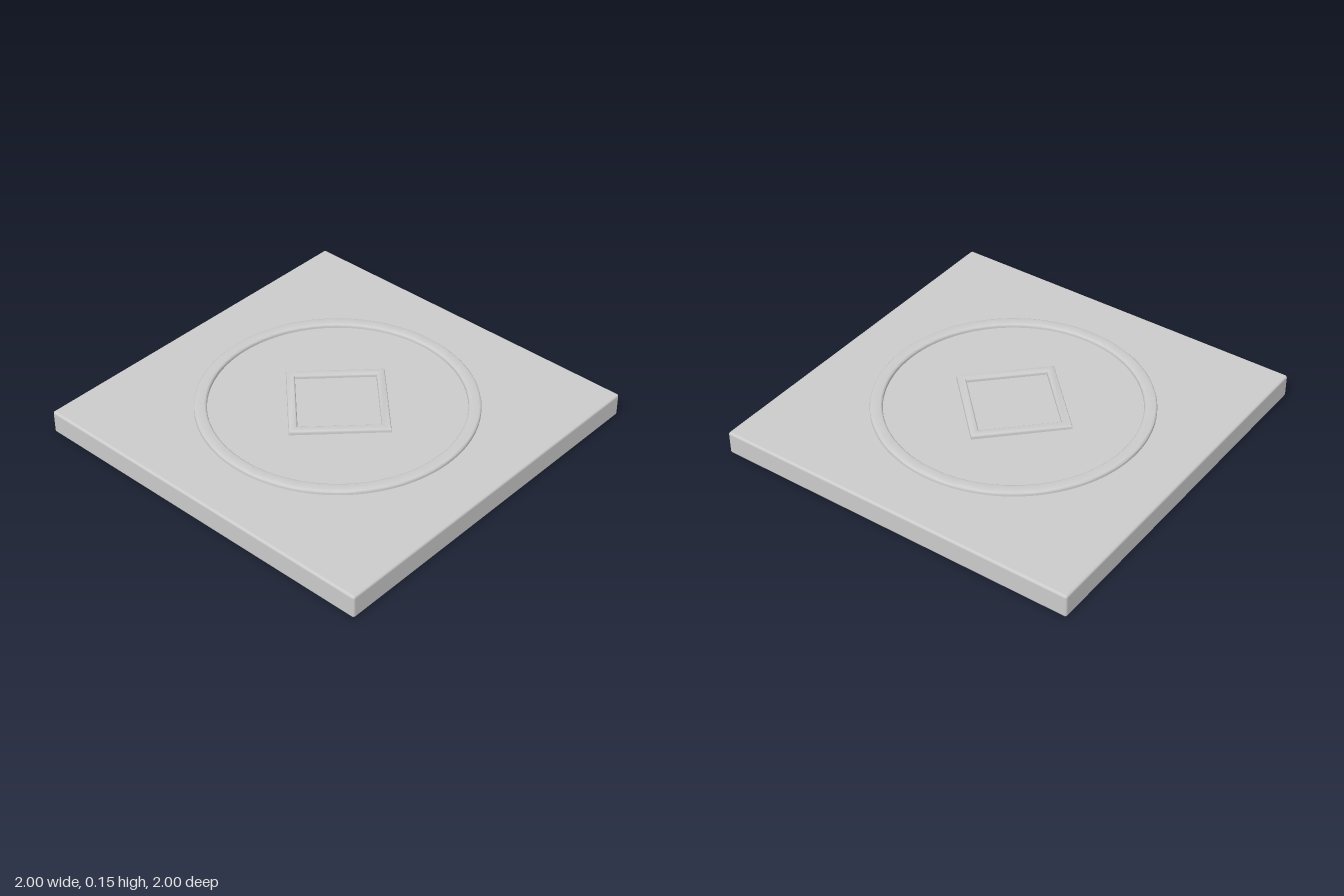
import * as THREE from 'three';
import { RoundedBoxGeometry } from 'three/addons/geometries/RoundedBoxGeometry.js';
import { toCreasedNormals } from 'three/addons/utils/BufferGeometryUtils.js';

const SLAB_TOP = 0.127;

// Raised band with rounded upper edges, swept about the y axis
function raisedBand(inner, outer, top, sides, bevel, crease) {
  const base = SLAB_TOP - 0.01;
  const profile = [[outer, base], [outer, top - bevel]];
  for (const a of [30, 60, 90]) {
    const t = THREE.MathUtils.degToRad(a);
    profile.push([outer - bevel + bevel * Math.cos(t), top - bevel + bevel * Math.sin(t)]);
  }
  for (const a of [90, 60, 30, 0]) {
    const t = THREE.MathUtils.degToRad(a);
    profile.push([inner + bevel - bevel * Math.cos(t), top - bevel + bevel * Math.sin(t)]);
  }
  profile.push([inner, base]);
  const points = profile.map(([r, y]) => new THREE.Vector2(r, y));
  return toCreasedNormals(new THREE.LatheGeometry(points, sides), crease);
}

export function createModel() {
  const model = new THREE.Group();
  const material = new THREE.MeshStandardMaterial({ color: 0xcccccc });
  const add = (name, geometry) => {
    const mesh = new THREE.Mesh(geometry, material);
    mesh.name = name;
    model.add(mesh);
    return mesh;
  };

  // Square slab with softened edges
  add('slab', new RoundedBoxGeometry(2, SLAB_TOP, 2, 3, 0.013)).position.y = SLAB_TOP / 2;

  // Circular border
  add('circularBorder', raisedBand(0.65, 0.715, 0.148, 128, 0.012, 0.7));

  // Four-sided border with its corners on the axes
  add('diamondBorder', raisedBand(0.292, 0.356, 0.148, 4, 0.012, 0.7));

  return model;
}
